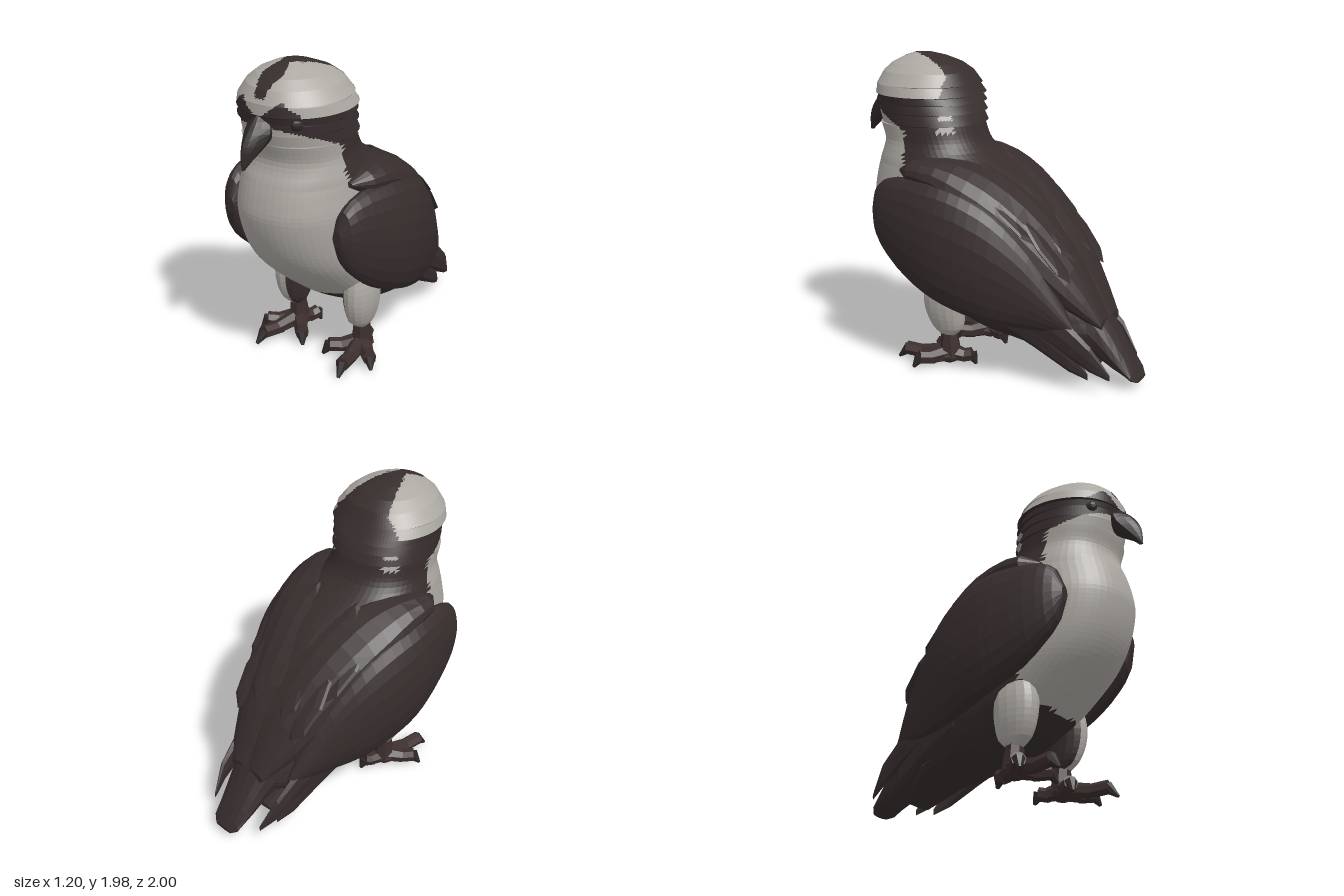
import * as THREE from 'three';

const mat = (name, color) => {
  const m = new THREE.MeshStandardMaterial({ color, flatShading: true });
  m.name = name;
  return m;
};

// Horizontal ring: [y, zFront, zBack, halfWidth, centreX]; point narrows the front
const levelRing = point => ([y, zf, zb, hw, cx = 0], a) => {
  const zc = zf - Math.min(0.45, (zf - zb) / 2);
  const c = Math.cos(a), s = Math.sin(a);
  const soft = v => Math.sign(v) * Math.pow(Math.abs(v), 0.9);
  const x = hw * soft(s) * (1 - point * Math.max(0, c));
  return [cx + x, y, zc + (c > 0 ? zf - zc : zc - zb) * soft(c)];
};

// Upright ring: [z, yBottom, yTop, xInner, xOuter], mirrored by side
const uprightRing = side => ([z, y0, y1, x0, x1], a) => [
  side * ((x0 + x1) / 2 + (x1 - x0) / 2 * Math.cos(a)),
  (y0 + y1) / 2 + (y1 - y0) / 2 * Math.sin(a * side),
  z,
];

// Rows in between: straight, or eased through the neighbours when smooth
function refine(rows, step, smooth) {
  const fine = [rows[0]];
  for (let i = 1; i < rows.length; i++) {
    const p = rows[i - 1], r = rows[i];
    const before = rows[Math.max(0, i - 2)], after = rows[Math.min(rows.length - 1, i + 1)];
    const k = Math.max(1, Math.ceil((r[0] - p[0]) / step - 0.01));
    const slope = (a, b, q) => (b[q] - a[q]) / (b[0] - a[0]) * (r[0] - p[0]);
    for (let j = 1; j <= k; j++) {
      const t = j / k, e = t * t * (3 - 2 * t);
      fine.push(r.map((v, q) => smooth
        ? p[q] + (v - p[q]) * e + t * (1 - t) * ((1 - t) * slope(before, r, q) - t * slope(p, after, q))
        : p[q] + (v - p[q]) * t));
    }
  }
  return fine;
}

// Skin through rings in rising order; pick() chooses the material index per face
function loft(rows, ring, n, step, smooth = false, pick = () => 0) {
  const rings = refine(rows, step, smooth)
    .map(r => Array.from({ length: n }, (_, j) => ring(r, j / n * Math.PI * 2)));
  const middle = r => [0, 1, 2].map(q => r.reduce((s, p) => s + p[q], 0) / n);
  const low = middle(rings[0]), last = rings[rings.length - 1], high = middle(last);
  const faces = [[], []];
  const add = (a, b, c) => {
    const m = [0, 1, 2].map(q => (a[q] + b[q] + c[q]) / 3);
    faces[pick(...m)].push(...a, ...b, ...c);
  };
  for (let j = 0; j < n; j++) {
    const k = (j + 1) % n;
    add(low, rings[0][k], rings[0][j]);
    add(high, last[j], last[k]);
    for (let i = 0; i + 1 < rings.length; i++) {
      add(rings[i][j], rings[i][k], rings[i + 1][k]);
      add(rings[i][j], rings[i + 1][k], rings[i + 1][j]);
    }
  }
  const g = new THREE.BufferGeometry();
  g.setAttribute('position', new THREE.Float32BufferAttribute([...faces[0], ...faces[1]], 3));
  g.addGroup(0, faces[0].length / 3, 0);
  if (faces[1].length) g.addGroup(faces[0].length / 3, faces[1].length / 3, 1);
  g.computeVertexNormals();
  return g;
}

// Plumage pattern: 1 = pale, 0 = dark
function plumage(x, y, z) {
  const ax = Math.abs(x);
  if (y > 1.7) { // pale cap with dark brow peaks and a dark crown stripe
    const peak = z > 0.6 ? Math.max(0, 0.09 - Math.abs(ax - 0.14) * 0.8) : 0;
    const stripe = z > 0.62 ? 0.075 - Math.abs(z - 0.72) * 0.35 : 0.035 + (0.62 - z) * 0.42;
    const crown = y > 1.83 && ax < stripe;
    return y > 1.74 + peak && z > 0.28 && !crown ? 1 : 0;
  }
  if (y > 1.33) { // pale throat, two flecks on the neck
    const fleck = ax > 0.2 && Math.abs(z - 0.25) < 0.04 &&
      (Math.abs(y - 1.62) < 0.016 || Math.abs(y - 1.545) < 0.02);
    return fleck || (z > 0.5 && y < 1.67 - (0.83 - z) * 0.4) ? 1 : 0;
  }
  return z > 0.32 && y > 0.45 + ax * 0.15 ? 1 : 0;
}

const BODY = [
  [0.24, -0.15, -0.5, 0.1], [0.27, 0.05, -0.7, 0.22], [0.34, 0.22, -0.78, 0.3],
  [0.43, 0.37, -0.76, 0.34], [0.5, 0.46, -0.73, 0.36], [0.6, 0.58, -0.68, 0.37],
  [0.75, 0.73, -0.6, 0.38], [0.9, 0.82, -0.5, 0.38], [1.1, 0.872, -0.33, 0.38],
  [1.22, 0.86, -0.2, 0.37], [1.33, 0.83, -0.03, 0.36], [1.4, 0.8, 0.08, 0.34],
  [1.46, 0.79, 0.13, 0.325], [1.56, 0.82, 0.17, 0.325],
];
const HEAD = [
  [1.56, 0.82, 0.17, 0.325], [1.565, 0.82, 0.145, 0.33], [1.63, 0.84, 0.18, 0.325],
  [1.635, 0.84, 0.15, 0.33], [1.69, 0.845, 0.19, 0.325], [1.695, 0.845, 0.155, 0.33],
  [1.735, 0.855, 0.19, 0.33], [1.742, 0.86, 0.165, 0.35], [1.8, 0.855, 0.21, 0.33],
  [1.805, 0.855, 0.19, 0.33], [1.88, 0.815, 0.24, 0.275], [1.93, 0.76, 0.31, 0.21],
  [1.97, 0.68, 0.41, 0.12], [1.99, 0.62, 0.5, 0.05],
];
const BEAK = [
  [1.455, 1, 0.975, 0.005], [1.5, 1, 0.93, 0.03], [1.56, 0.995, 0.84, 0.06],
  [1.62, 0.97, 0.77, 0.085], [1.68, 0.925, 0.77, 0.085], [1.74, 0.86, 0.77, 0.03],
];
const WING = [
  [-0.66, 0.38, 0.42, 0.24, 0.27], [-0.55, 0.385, 0.62, 0.22, 0.34], [-0.4, 0.39, 0.87, 0.24, 0.42],
  [-0.2, 0.405, 1.1, 0.27, 0.52], [0, 0.45, 1.22, 0.3, 0.58], [0.2, 0.52, 1.27, 0.33, 0.598],
  [0.4, 0.62, 1.275, 0.33, 0.57], [0.55, 0.74, 1.25, 0.35, 0.53], [0.64, 0.85, 1.19, 0.36, 0.49],
  [0.68, 0.98, 1.08, 0.38, 0.44],
];
const SHOULDER = [
  [-0.78, 0.38, 0.45, 0, 0.14], [-0.6, 0.45, 0.78, -0.12, 0.27], [-0.4, 0.6, 1.04, -0.15, 0.36],
  [-0.2, 0.85, 1.22, -0.15, 0.44], [0, 1, 1.335, -0.1, 0.49], [0.2, 1.15, 1.385, 0.08, 0.5],
  [0.4, 1.22, 1.37, 0.28, 0.48], [0.5, 1.28, 1.31, 0.34, 0.39],
];
const TAIL = [
  [-1, 0.06, 0.085, -0.07, 0.07], [-0.97, 0.062, 0.14, -0.11, 0.11], [-0.85, 0.11, 0.33, -0.135, 0.135],
  [-0.75, 0.16, 0.49, -0.155, 0.155], [-0.6, 0.22, 0.72, -0.21, 0.21], [-0.3, 0.26, 0.6, -0.3, 0.3],
];
const UNDERTAIL = [
  [-0.7, 0.085, 0.12, -0.13, 0.13], [-0.5, 0.175, 0.32, -0.22, 0.22], [-0.2, 0.25, 0.42, -0.29, 0.29],
];
const PRIMARY = [
  [-0.88, 0.11, 0.15, 0.2, 0.215], [-0.77, 0.16, 0.32, 0.225, 0.27],
  [-0.55, 0.28, 0.52, 0.23, 0.315], [-0.3, 0.4, 0.64, 0.24, 0.35],
];
const THIGH = [
  [0.22, 0.28, 0.18, 0.045, 0.26], [0.27, 0.34, 0.13, 0.07, 0.265],
  [0.38, 0.385, 0.11, 0.09, 0.275], [0.5, 0.395, 0.1, 0.095, 0.275], [0.62, 0.37, 0.1, 0.07, 0.28],
];

export function createModel() {
  const model = new THREE.Group();
  model.name = 'birdOfPrey';
  const dark = mat('darkPlumage', 0x372d2d), pale = mat('palePlumage', 0xaca8a2);
  const horn = mat('beakHorn', 0x302929), skin = mat('footSkin', 0x3c2e2d);
  const put = (name, geometry, material, parent = model) => {
    const m = new THREE.Mesh(geometry, material);
    m.name = name;
    parent.add(m);
    return m;
  };
  // Tapered limb between two points
  const limb = (name, a, b, r0, r1, material, parent) => {
    const p = new THREE.Vector3(...a), d = new THREE.Vector3(...b).sub(p);
    const m = put(name, new THREE.CylinderGeometry(r1, r0, d.length(), 7), material, parent);
    m.position.copy(p).addScaledVector(d, 0.5);
    m.quaternion.setFromUnitVectors(new THREE.Vector3(0, 1, 0), d.normalize());
  };

  put('body', loft(BODY, levelRing(0), 56, 0.03, true, plumage), [dark, pale]);
  put('head', loft(HEAD, levelRing(0.1), 96, 0.012, false, plumage), [dark, pale]);
  put('beak', loft(BEAK, levelRing(0.55), 12, 0.03, true), [horn]);
  put('tail', loft(TAIL, uprightRing(1), 14, 0.1), [dark]);
  put('undertail', loft(UNDERTAIL, uprightRing(1), 14, 0.1), [dark]);

  for (const s of [1, -1]) {
    const side = s > 0 ? 'left' : 'right';
    put(side + 'Wing', loft(WING, uprightRing(s), 20, 0.08, true), [dark]);
    put(side + 'Shoulder', loft(SHOULDER, uprightRing(s), 16, 0.1, true), [dark]);

    // Long flight feathers beside the tail
    for (const [i, dz, dy] of [[1, 0, 0], [2, 0.14, -0.02]])
      put(side + 'FlightFeather' + i, loft(
        PRIMARY.map(([z, a, b, c, d]) => [z + dz, a + dy, b + dy, c + 0.01 * i, d + 0.005 * i]),
        uprightRing(s), 8, 0.1), [dark]);

    // Long overlapping back feathers
    [[0.17, 1.2, -0.16], [0.31, 1.1, -0.22], [0.12, 0.99, -0.4], [0.24, 0.9, -0.45]]
      .forEach(([x, y, z], i) => {
        const f = put(side + 'BackFeather' + (i + 1), new THREE.SphereGeometry(1, 8, 6), dark);
        f.scale.set(0.1, 0.025, 0.27);
        f.position.set(s * x, y, z);
        f.rotation.x = -0.66 - i * 0.07;
      });

    const eye = put(side + 'Eye', new THREE.SphereGeometry(0.045, 10, 8), horn);
    eye.position.set(s * 0.19, 1.7, 0.75);

    // Leg: feathered thigh, shank, four toes with claws
    const leg = new THREE.Group();
    leg.name = side + 'Leg';
    model.add(leg);
    put('thigh', loft(THIGH.map(r => [...r.slice(0, 4), s * r[4]]), levelRing(0), 16, 0.04, true,
      x => (s * x > 0.235 ? 1 : 0)), [dark, pale], leg);
    limb('shank', [s * 0.26, 0.26, 0.23], [s * 0.26, 0.07, 0.22], 0.05, 0.075, skin, leg);
    for (const [x, z] of [[0.33, 0.56], [0.44, 0.38], [0.09, 0.4], [0.2, 0.07]]) {
      const at = (t, y) => [s * (0.26 + (x - 0.26) * t), y, 0.22 + (z - 0.22) * t];
      limb('toeBase', at(0, 0.095), at(0.55, 0.075), 0.06, 0.045, skin, leg);
      limb('toeEnd', at(0.45, 0.07), at(0.88, 0.085), 0.045, 0.045, skin, leg);
      limb('claw', at(0.84, 0.085), at(1.04, 0.02), 0.042, 0.01, horn, leg);
    }
    const pad = put('footPad', new THREE.SphereGeometry(0.08, 8, 6), skin, leg);
    pad.scale.y = 0.7;
    pad.position.set(s * 0.26, 0.08, 0.23);
  }
  return model;
}
